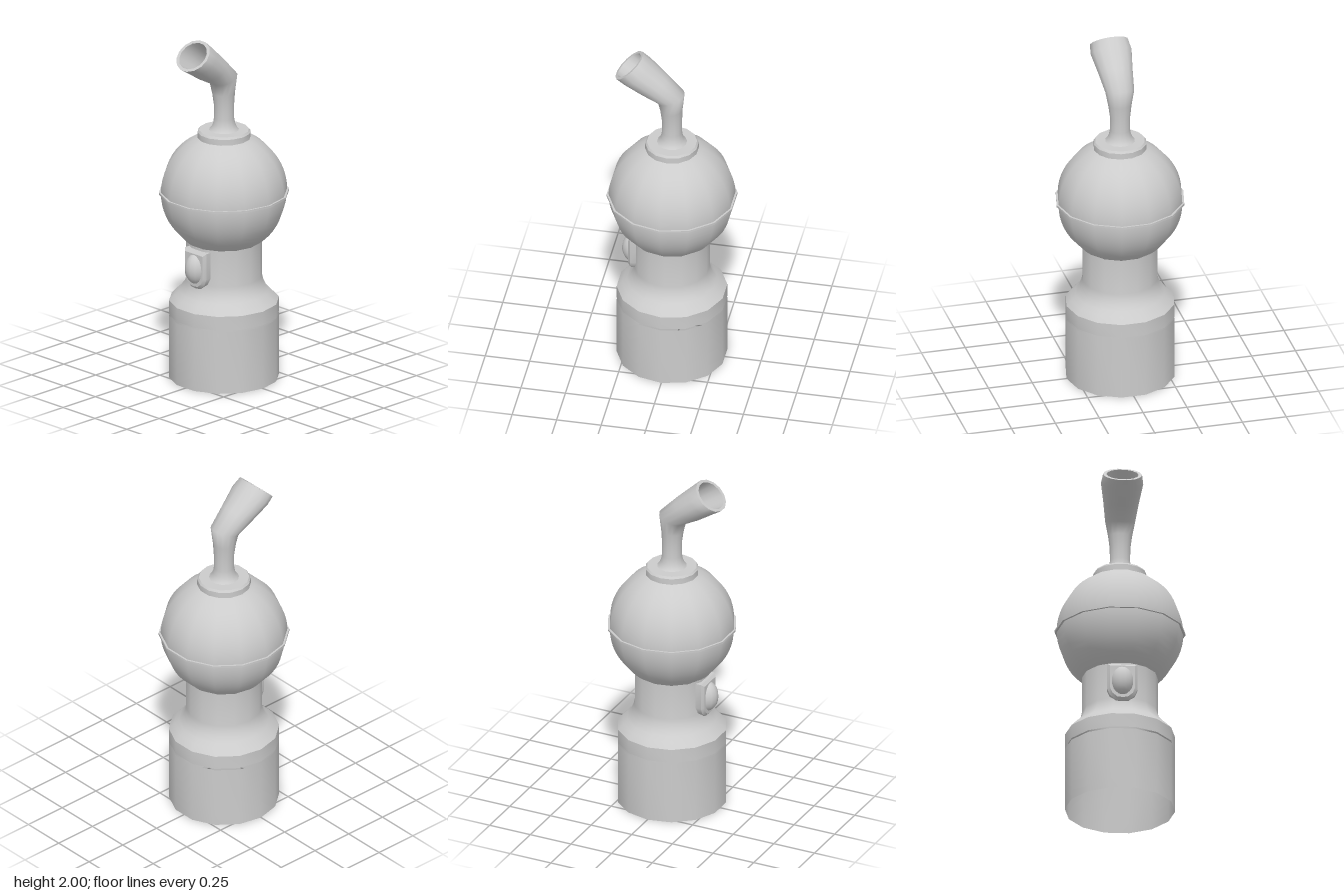
import * as THREE from 'three';
import { toCreasedNormals } from 'three/addons/utils/BufferGeometryUtils.js';

const SIDES = 14;
const material = new THREE.MeshStandardMaterial({ color: 0xcccccc, side: THREE.DoubleSide });

function part(name, geometry, crease = 0.6) {
  const mesh = new THREE.Mesh(crease ? toCreasedNormals(geometry, crease) : geometry, material);
  mesh.name = name;
  return mesh;
}

// Turned part: profile of [radius, y] from bottom to top, a corner on the x axis
function turned(name, profile) {
  const points = profile.map(([r, y]) => new THREE.Vector2(r, y));
  return part(name, new THREE.LatheGeometry(points, SIDES, Math.PI / 2));
}

// Skin over tilted rings: [y, z, tilt towards the front, x radius, depth radius]
function loft(rings) {
  const pos = [], index = [];
  rings.forEach(([y, z, tilt, rx, rd], k) => {
    for (let i = 0; i < SIDES; i++) {
      const a = (i / SIDES) * Math.PI * 2;
      const d = rd * Math.sin(a);
      pos.push(rx * Math.cos(a), y - d * Math.sin(tilt), z + d * Math.cos(tilt));
      if (k === 0) continue;
      const j = (i + 1) % SIDES, lo = (k - 1) * SIDES, hi = k * SIDES;
      index.push(lo + i, hi + i, lo + j, lo + j, hi + i, hi + j);
    }
  });
  const g = new THREE.BufferGeometry();
  g.setAttribute('position', new THREE.Float32BufferAttribute(pos, 3));
  g.setIndex(index);
  g.computeVertexNormals();
  return g;
}

export function createModel() {
  const model = new THREE.Group();
  model.name = 'horn';

  // Hollow base sleeve, with a thin gap below the shoulder
  model.add(turned('baseSleeve', [[0.305, 0], [0.305, 0.36]]));
  model.add(turned('shoulderAndNeck', [
    [0.305, 0.37], [0.305, 0.45], [0.275, 0.482], [0.25, 0.505], [0.23, 0.53],
    [0.217, 0.56], [0.21, 0.59], [0.21, 0.8],
  ]));

  // Ball, cut off where it meets the neck and the collar
  const ball = [];
  for (let i = 0; i <= 20; i++) {
    const a = THREE.MathUtils.lerp(-0.927, 1.159, i / 20);
    ball.push([0.35 * Math.cos(a), 1.08 + 0.35 * Math.sin(a)]);
  }
  model.add(turned('ball', ball));
  model.add(turned('ballBand', [[0.345, 1.072], [0.361, 1.072], [0.361, 1.084], [0.345, 1.084]]));
  model.add(turned('collar', [[0.12, 1.395], [0.148, 1.395], [0.148, 1.43], [0.139, 1.442], [0, 1.442]]));

  // Bent pipe: outer skin, flat lip and bore
  const mouth = [1.93, 0.24, 0.75];
  const spout = new THREE.Group();
  spout.name = 'spout';
  spout.add(
    part('pipe', loft([
      [1.44, 0, 0, 0.085, 0.085], [1.452, 0, 0, 0.073, 0.073], [1.475, 0, 0, 0.062, 0.062],
      [1.51, 0, 0, 0.056, 0.056], [1.59, 0, 0, 0.057, 0.056], [1.66, 0.003, 0.08, 0.066, 0.062],
      [1.745, 0.005, 0.33, 0.082, 0.079], [1.82, 0.1, 0.6, 0.098, 0.089],
      [1.895, 0.194, 0.69, 0.117, 0.098], [...mouth, 0.108, 0.103].flat(),
    ]), 0),
    part('lip', loft([[...mouth, 0.108, 0.103], [...mouth, 0.089, 0.086]]), 0),
    part('bore', loft([
      [...mouth, 0.089, 0.086], [1.85, 0.13, 0.69, 0.085, 0.075],
      [1.755, 0.012, 0.4, 0.068, 0.064], [1.6, 0, 0, 0.045, 0.045], [1.6, 0, 0, 0, 0],
    ]), 0),
  );
  model.add(spout);

  // Shield-shaped plate with an oval push button
  const half = [[0.069, 0.77], [0.069, 0.638], [0.057, 0.607], [0.029, 0.583]];
  const outline = [...half, [0, 0.58], ...half.map(([x, y]) => [-x, y]).reverse()];
  const shield = new THREE.Shape(outline.map(([x, y]) => new THREE.Vector2(x, y)));
  const plate = part('buttonPlate', new THREE.ExtrudeGeometry(shield, {
    depth: 0.055, bevelEnabled: true, bevelThickness: 0.014, bevelSize: 0.015, bevelSegments: 1,
  }), 0.5);
  plate.position.z = 0.165;
  const button = part('button', new THREE.SphereGeometry(1, SIDES, 12), 0);
  button.scale.set(0.064, 0.09, 0.07);
  button.position.set(0, 0.68, 0.21);
  model.add(plate, button);

  return model;
}
